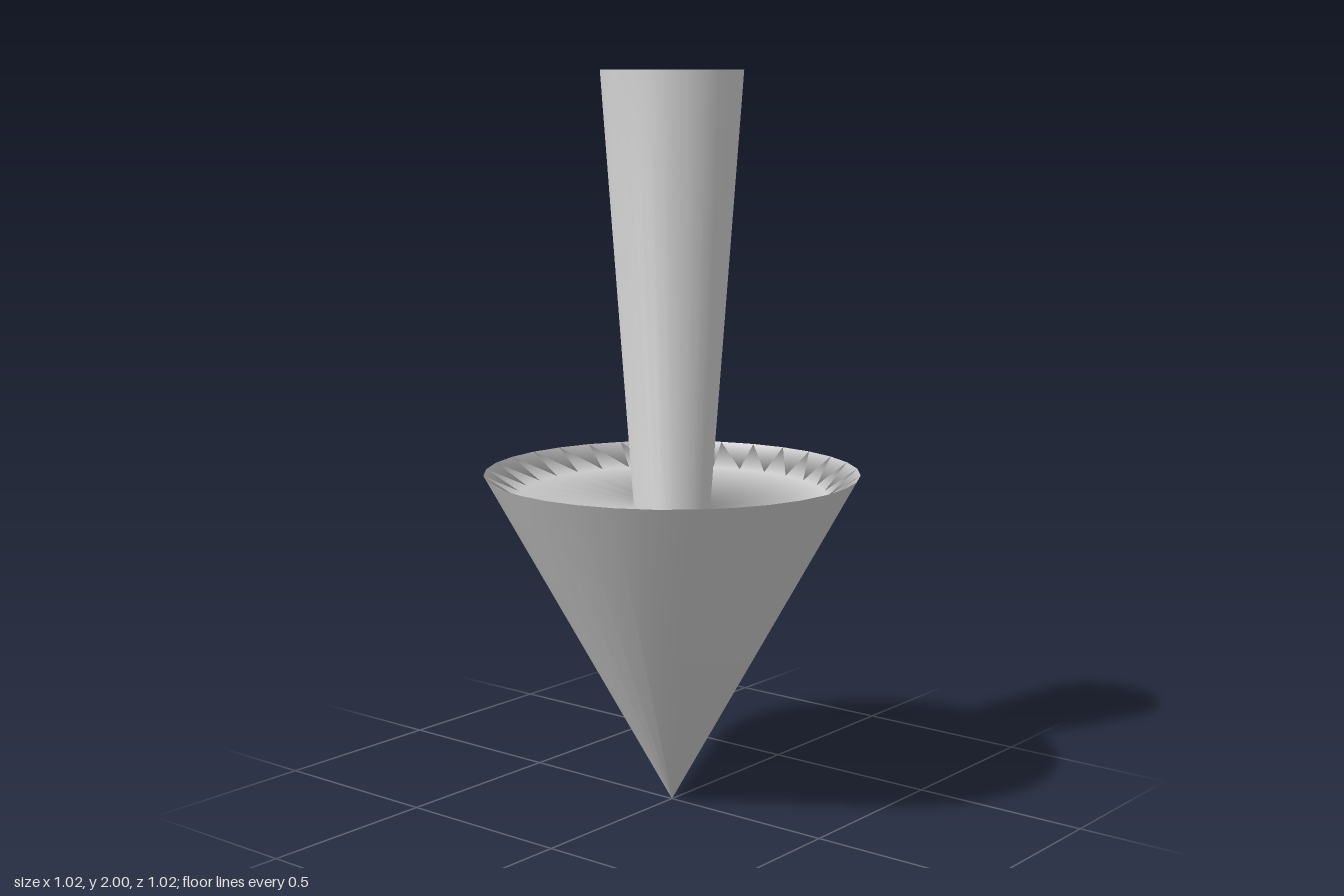
import * as THREE from 'three';

const SIDES = 32;

export function createModel() {
  const group = new THREE.Group();
  group.name = 'arrow';
  const material = new THREE.MeshStandardMaterial({ color: 0xcccccc });

  // One continuous turned surface: pointed head, dished back, flaring shaft
  const profile = [
    [0, 0],         // tip
    [0.51, 0.925],  // rim of the head
    [0.42, 0.865],  // inner edge of the dish
    [0.104, 0.83],  // foot of the shaft
    [0.19, 2],      // top of the shaft
    [0, 2],         // centre of the flat cap
  ].map(([r, y]) => new THREE.Vector2(r, y));

  const body = new THREE.Mesh(new THREE.LatheGeometry(profile, SIDES), material);
  body.name = 'headAndShaft';
  group.add(body);
  return group;
}
